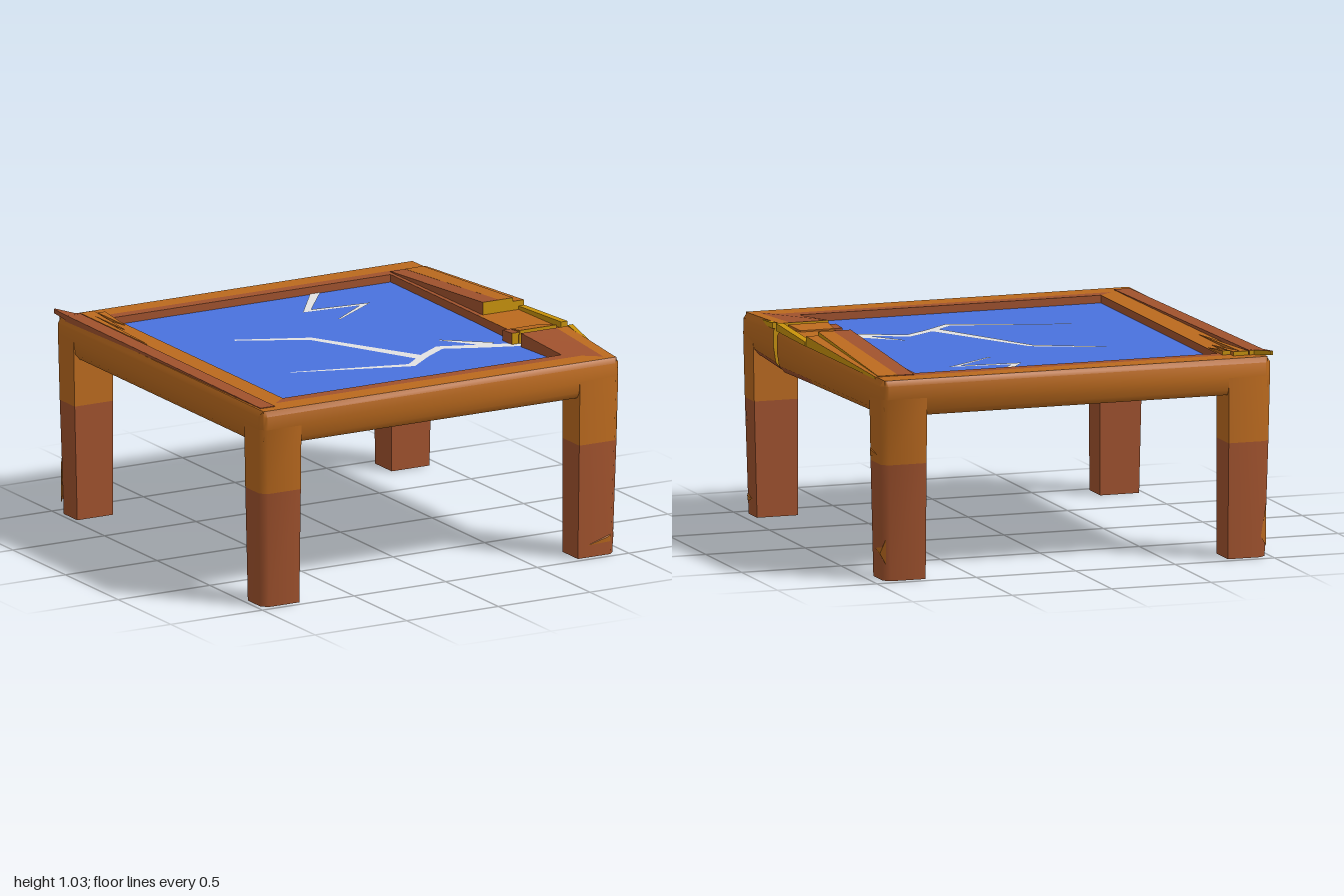
import * as THREE from 'three';
import { toCreasedNormals } from 'three/addons/utils/BufferGeometryUtils.js';

const mat = (name, color) => Object.assign(new THREE.MeshStandardMaterial({ color, side: THREE.DoubleSide }), { name });

// Skin between matching cross-sections; pick(i, j) gives the material of side j in span i,
// caps holds the two end materials (null leaves an end open).
function loft(name, sections, pick, caps) {
  const tris = [];
  const n = sections[0].length, last = sections.length - 1;
  const v = (i, j) => new THREE.Vector3(...sections[i][j % n]);
  for (let i = 0; i < last; i++) {
    for (let j = 0; j < n; j++) {
      const m = pick(i, j);
      tris.push([m, v(i, j), v(i, j + 1), v(i + 1, j + 1)], [m, v(i, j), v(i + 1, j + 1), v(i + 1, j)]);
    }
  }
  for (let j = 1; j < n - 1; j++) {
    tris.push([caps[0], v(0, 0), v(0, j + 1), v(0, j)]);
    tris.push([caps[1], v(last, 0), v(last, j), v(last, j + 1)]);
  }
  // Make every face point outwards and drop collapsed ones
  const volume = tris.reduce((s, [, a, b, c]) => s + a.dot(b.clone().cross(c)), 0);
  const solid = tris.filter(([, a, b, c]) => new THREE.Triangle(a, b, c).getArea() > 1e-7);
  const materials = [...new Set(solid.map(t => t[0]))].filter(Boolean);
  const points = [], geometry = new THREE.BufferGeometry();
  materials.forEach((m, k) => {
    const start = points.length;
    for (const [own, a, b, c] of solid) if (own === m) points.push(...(volume < 0 ? [a, c, b] : [a, b, c]));
    geometry.addGroup(start, points.length - start, k);
  });
  geometry.setFromPoints(points);
  const mesh = new THREE.Mesh(toCreasedNormals(geometry, 0.85), materials);
  mesh.name = name;
  return mesh;
}

// Tapering flat ribbon with mitred bends through [x, z, width] points
function ribbon(name, path, y, material) {
  const pts = path.map(p => new THREE.Vector2(p[0], p[1]));
  const left = [], right = [];
  pts.forEach((p, i) => {
    const a = p.clone().sub(pts[Math.max(i - 1, 0)]).normalize();
    const b = pts[Math.min(i + 1, pts.length - 1)].clone().sub(p).normalize();
    const d = a.clone().add(b).normalize();
    const side = new THREE.Vector2(-d.y, d.x);
    const cos = Math.max(0.5, d.dot(i ? a : b));
    side.multiplyScalar(path[i][2] / 2 / cos);
    left.push(p.clone().add(side));
    right.unshift(p.clone().sub(side));
  });
  const shape = new THREE.Shape([...left, ...right].map(p => new THREE.Vector2(p.x, -p.y)));
  const mesh = new THREE.Mesh(new THREE.ShapeGeometry(shape).rotateX(-Math.PI / 2), material);
  mesh.position.y = y;
  mesh.name = name;
  return mesh;
}

export function createModel() {
  const root = new THREE.Group();
  root.name = 'crackedGlassTable';
  const wood = mat('orange wood', 0xbb6a1e), dark = mat('red brown wood', 0xa0522d);
  const raw = mat('splintered wood', 0xc8920a);
  const glass = mat('blue glass', 0x4a72de), crack = mat('pale crack', 0xe2e2e2);
  const add = (...m) => root.add(...m);

  // Glass top
  const pane = new THREE.Mesh(new THREE.BoxGeometry(1.54, 0.006, 1.64), glass);
  pane.position.set(-0.02, 0.925, 0);
  pane.name = 'glassPane';
  add(pane);

  // Cracks in the glass
  [
    [[-0.41, -0.29, 0.018], [-0.085, -0.135, 0.038], [0.21, 0.41, 0.065]],
    [[-0.46, 0.33, 0.008], [0.1, 0.505, 0.04], [0.23, 0.395, 0.045], [0.365, 0.305, 0.045], [0.56, 0.385, 0.055], [0.74, 0.455, 0.05]],
    [[0.43, 0.19, 0.012], [0.61, 0.38, 0.07]],
    [[0.335, -0.82, 0.045], [0.14, -0.56, 0.033], [0.44, -0.53, 0.036], [0.2, -0.36, 0.012]],
  ].forEach((path, i) => add(ribbon('glassCrack' + i, path, 0.9295 + i * 0.0004, crack)));

  // Rail cross-section, running from the inner edge to the rounded outer edge
  const lerp = THREE.MathUtils.lerp;
  const profile = [[0, 0], [0.55, 0], [0.85, 0.05], [0.96, 0.2], [1, 0.5], [1, 0.86], [0.92, 1], [0.34, 1], [0, 1]];
  const section = (inner, outer, { y0 = 0.78, y1 = 0.965, strip = 0.34, maxX = 1, maxZ = 1 } = {}) =>
    profile.map(([u, h], k) => {
      const t = k === 7 ? strip : u;
      return [lerp(inner[0], outer[0], Math.min(t, maxX)), lerp(y0, y1, h), lerp(inner[1], outer[1], Math.min(t, maxZ))];
    });
  // Mitred rail end with its sharp corner cut off: tip first, then the full section
  const corner = (sx, sz, clip, strip) => [{ maxX: 0.925, maxZ: 0.925 }, clip].map(limit => section(
    [sx > 0 ? 0.74 : -0.78, 0.81 * sz], [sx > 0 ? 0.965 : -0.995, sz > 0 ? 0.987 : -0.977], { strip, ...limit }));
  const alongX = { maxX: 0.865 }, alongZ = { maxZ: 0.825 };
  const open = [null, null];
  for (const [name, sz] of [['frontRail', 1], ['backRail', -1]]) {
    add(loft(name, [...corner(-1, sz, alongX), ...corner(1, sz, alongX).reverse()],
      (i, j) => (j >= 7 ? dark : wood), open));
  }
  add(loft('leftRail', [...corner(-1, -1, alongZ), ...corner(-1, 1, alongZ).reverse()],
    (i, j) => (j === 8 ? dark : wood), open));

  // Right rail, snapped in two with lifted ends around a bare core
  add(loft('rightRailFront',
    [...corner(1, 1, alongZ, 0.7), section([0.71, 0.48], [0.985, 0.48], { y0: 0.76, y1: 0.995, strip: 0.7 })],
    (i, j) => (j >= 7 || j < 3 ? dark : wood), [null, raw]));
  add(loft('rightRailBack', [...corner(1, -1, alongZ),
    section([0.735, 0.03], [0.98, 0.03], { y0: 0.765, y1: 0.968 }),
    section([0.725, 0.435], [0.985, 0.435], { y0: 0.755, y1: 0.975 })],
    (i, j) => (j === 8 || j < 2 || (j === 2 && i === 2) || (j === 7 && i < 2) ? dark : wood), [null, raw]));
  add(loft('rightRailCore',
    [0.4, 0.52].map(z => section([0.745, z], [0.92, z], { y0: 0.785, y1: 0.962 })), () => wood, open));

  // Hollow legs with a rounded outer corner, darker below
  for (const sx of [-1, 1]) for (const sz of [-1, 1]) {
    const xi = sx > 0 ? 0.74 : -0.78, zi = sz > 0 ? 0.82 : -0.8;
    const ring = (y, grow) => {
      const xo = (sx > 0 ? 0.946 : -0.976) + sx * grow;
      const zo = (sz > 0 ? 0.968 : -0.958) + sz * grow;
      const c = 0.03;
      return [[xi, y, zi], [xo, y, zi], [xo, y, zo - sz * c], [xo - sx * c, y, zo], [xi, y, zo]];
    };
    add(loft((sz > 0 ? 'front' : 'back') + (sx > 0 ? 'Left' : 'Right') + 'Leg',
      [ring(0, 0), ring(0.56, 0.014), ring(0.875, 0.02)], i => (i ? wood : dark), open));
  }

  // Long wedge splinter between two rectangles [x0, x1, y0, y1, z]
  const wedge = (name, a, b, pick, caps) => add(loft(name, [a, b].map(([x0, x1, y0, y1, z]) =>
    [[x0, y0, z], [x1, y0, z], [x1, y1, z], [x0, y1, z]]), pick, caps));
  const all = m => () => m;
  const rawSide = m => (i, j) => (j === 1 ? raw : m);

  // Splinters along the snapped rail
  wedge('innerSplinter', [0.76, 0.85, 0.965, 1.03, 0.03], [0.76, 0.84, 0.95, 0.968, -0.85], all(dark), [raw, dark]);
  wedge('outerSplinter', [0.85, 0.925, 0.965, 1.03, 0.03], [0.84, 0.94, 0.95, 0.969, -0.85], rawSide(wood), [raw, wood]);
  wedge('edgeSplinter', [0.925, 0.985, 0.963, 1.012, 0.03], [0.925, 0.955, 0.955, 0.967, -0.85], rawSide(wood), [raw, wood]);
  wedge('rawEdge', [0.955, 0.99, 0.968, 1.005, 0.435], [0.955, 0.99, 0.964, 0.985, 0.03], all(raw), [raw, raw]);
  wedge('frontRawEdge', [0.965, 0.992, 0.972, 1, 0.48], [0.945, 0.962, 0.955, 0.975, 0.7], all(raw), [raw, raw]);
  wedge('breakRidge', [0.73, 0.93, 0.96, 0.995, 0.435], [0.73, 0.9, 0.96, 0.98, 0.34], all(wood), [raw, wood]);
  wedge('brokenChip', [0.69, 0.735, 0.92, 0.985, 0.43], [0.69, 0.735, 0.92, 0.98, 0.34], all(dark), [raw, dark]);

  // Raised strip and splinters on the far corner
  wedge('leftSplit', [-0.965, -0.885, 0.955, 0.968, 0.92], [-0.985, -0.91, 0.955, 0.986, -0.9], all(dark), [dark, raw]);
  wedge('cornerTip', [-0.985, -0.92, 0.96, 0.986, -0.88], [-0.995, -0.985, 0.975, 0.995, -0.99], rawSide(dark), [dark, raw]);
  [[-0.885, -0.9, -0.32], [-0.85, -0.9, -0.6], [-0.81, -0.86, -0.66]].forEach(([x, z0, z1], i) =>
    wedge('cornerSplinter' + i, [x - 0.02, x + 0.02, 0.955, 0.985, z0], [x + 0.015, x + 0.02, 0.955, 0.966, z1],
      all(wood), [raw, wood]));

  // Small chips on the legs: a triangle rising to a low peak
  const chip = (name, a, b, c, peak) => add(loft(name,
    [[a, b, c], [peak, peak, peak]], all(wood), [wood, wood]));
  chip('frontLegChip', [0.79, 0.06, 0.973], [0.914, 0.065, 0.973], [0.916, 0.1, 0.973], [0.9, 0.09, 0.979]);
  chip('frontLegSideChip', [0.95, 0.08, 0.87], [0.95, 0.065, 0.938], [0.95, 0.1, 0.938], [0.956, 0.09, 0.93]);
  chip('backLegUpperChip', [0.963, 0.62, -0.8], [0.963, 0.58, -0.8], [0.963, 0.6, -0.91], [0.968, 0.613, -0.82]);
  chip('backLegLowerChip', [0.952, 0.14, -0.85], [0.937, 0.08, -0.95], [0.937, 0.2, -0.95], [0.96, 0.13, -0.93]);
  chip('backRightLegChip', [-0.984, 0.1, -0.925], [-0.944, 0.1, -0.965], [-0.974, 0.27, -0.956], [-0.974, 0.05, -0.956]);

  return root;
}
